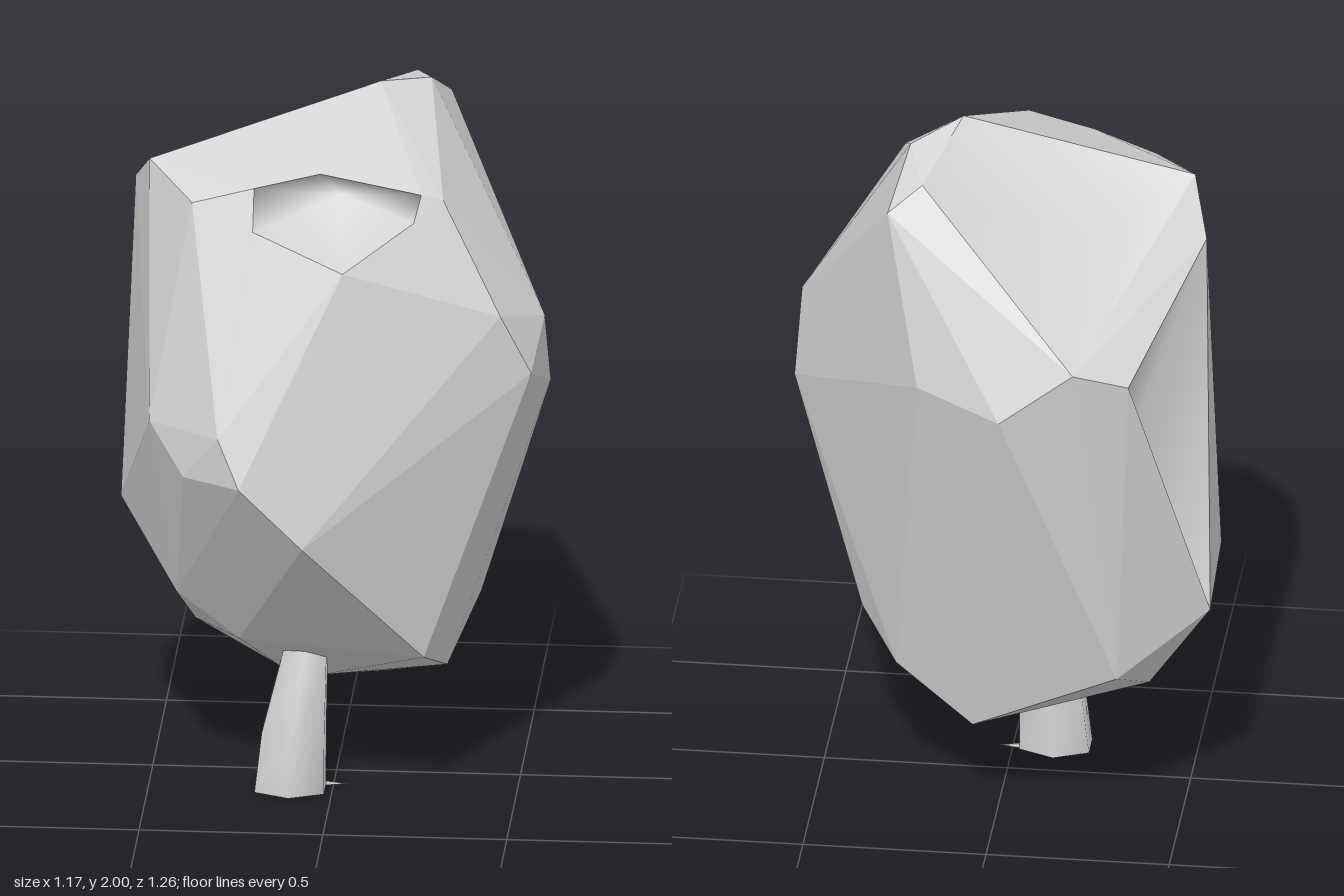
import * as THREE from 'three';
import { ConvexGeometry } from 'three/addons/geometries/ConvexGeometry.js';
import { mergeVertices } from 'three/addons/utils/BufferGeometryUtils.js';

const v = (x, y, z) => new THREE.Vector3(x, y, z);

// Corners of the faceted crown
const frontLip = v(0.05, 1.61, 0.46), flap = v(-0.02, 1.85, 0.33);
const mouth = [
  v(-0.2, 1.695, 0.38), v(-0.2, 1.803, 0.33), v(0.235, 1.717, 0.337), v(0.252, 1.782, 0.292),
];
const spike = v(-0.5, 1.8, 0.11), peak = v(0.12, 2, 0), ridge = v(0.25, 1.97, -0.12);
const topBack = v(0.2, 1.93, -0.28), backRim = v(-0.25, 1.55, -0.62);
const sideTop = v(-0.55, 1.69, -0.05), sideBack = v(-0.395, 1.49, -0.555);
const sideLow = v(-0.59, 0.69, -0.31);
const corners = [
  frontLip, flap, ...mouth, spike, peak, ridge, topBack, backRim, sideTop, sideBack, sideLow,
  // brow
  v(-0.37, 1.75, 0.31), v(0.31, 1.76, 0.27),
  // back
  v(0.29, 1.86, -0.32), v(-0.05, 1.4, -0.635), v(0.19, 1.42, -0.49), v(-0.35, 0.53, -0.44),
  // left flank
  v(0.585, 1.16, 0.03), v(0.575, 1.38, 0.12), v(0.55, 1.27, 0.28), v(0.47, 1.45, 0.33),
  // front
  v(-0.22, 1.04, 0.63), v(-0.05, 0.86, 0.6), v(-0.28, 1.17, 0.59),
  v(-0.38, 1.03, 0.51), v(-0.48, 1.15, 0.4), v(-0.59, 0.76, -0.05),
  // underside
  v(0.26, 0.45, 0.31), v(0.39, 0.51, -0.06), v(0.31, 0.36, 0.12), v(0.28, 0.42, -0.21),
  v(0.12, 0.25, -0.11), v(-0.05, 0.255, -0.05), v(-0.16, 0.28, -0.05), v(0.06, 0.29, -0.3),
  v(-0.42, 0.44, -0.28), v(-0.25, 0.45, 0.2), v(-0.42, 0.58, 0.2), v(-0.38, 0.45, 0.05),
];

// Each hollow replaces the crown faces inside its rim with a pit
const hollows = [
  { name: 'frontHollow', rim: [frontLip, flap, ...mouth], pit: v(0.02, 1.7, 0.08) },
  { name: 'topHollow', rim: [spike, peak, flap], pit: v(-0.22, 1.73, 0.225) },
  { name: 'slotHollow', rim: [flap, peak, ridge], pit: v(0.15, 1.88, 0.06) },
  { name: 'crownHollow', rim: [spike, peak, topBack, backRim], pit: v(-0.28, 1.68, -0.06) },
  { name: 'sideHollow', rim: [sideTop, sideBack, sideLow], pit: v(-0.34, 1.1, -0.18) },
];

function geometryFrom(points) {
  return new THREE.BufferGeometry().setFromPoints(points);
}

function buildCrown(material) {
  const crown = new THREE.Group();
  crown.name = 'crown';
  const pos = new ConvexGeometry(corners).getAttribute('position');
  const kept = [];
  const cut = hollows.map(() => []);
  for (let i = 0; i < pos.count; i += 3) {
    const tri = [0, 1, 2].map((k) => new THREE.Vector3().fromBufferAttribute(pos, i + k));
    const h = hollows.findIndex(({ rim }) =>
      tri.every((p) => rim.some((r) => r.distanceTo(p) < 1e-4)));
    if (h < 0) kept.push(...tri);
    else cut[h].push(tri);
  }
  const shell = geometryFrom(kept);
  shell.computeVertexNormals();
  const foliage = new THREE.Mesh(shell, material);
  foliage.name = 'foliage';
  crown.add(foliage);

  hollows.forEach(({ name, pit }, h) => {
    // Outline of the removed faces: edges with no matching opposite edge
    const edges = cut[h].flatMap(([a, b, c]) => [[a, b], [b, c], [c, a]]);
    const outline = edges.filter(([a, b]) => !edges.some(([c, d]) =>
      a.distanceTo(d) < 1e-4 && b.distanceTo(c) < 1e-4));
    if (!outline.length) return;
    const geo = mergeVertices(geometryFrom(outline.flatMap(([a, b]) => [a, b, pit])));
    geo.computeVertexNormals();
    const mesh = new THREE.Mesh(geo, material);
    mesh.name = name;
    crown.add(mesh);
  });
  return crown;
}

// Leaning six-sided open trunk: rings of [y, centre x, centre z, radius x, radius z]
function buildTrunk(material) {
  const rings = [
    [0, -0.115, 0.15, 0.102, 0.08],
    [0.17, -0.105, 0.148, 0.092, 0.08],
    [0.36, -0.08, 0.125, 0.068, 0.058],
    [0.5, -0.06, 0.1, 0.055, 0.045],
  ];
  let geo = new THREE.CylinderGeometry(1, 1, 3, 6, 3, true);
  geo.deleteAttribute('uv');
  geo.deleteAttribute('normal');
  geo = mergeVertices(geo);
  const p = geo.getAttribute('position');
  for (let i = 0; i < p.count; i++) {
    const [y, cx, cz, rx, rz] = rings[Math.round(p.getY(i) + 1.5)];
    p.setXYZ(i, cx + p.getX(i) * rx * 1.07, y, cz + p.getZ(i) * rz);
  }
  geo.computeVertexNormals();
  const trunk = new THREE.Mesh(geo, material);
  trunk.name = 'trunk';
  return trunk;
}

// Small root splinter at the foot of the trunk
function buildRoot(material) {
  const root = new THREE.Mesh(new THREE.ConeGeometry(0.02, 0.08, 3), material);
  root.name = 'root';
  root.rotation.z = -Math.PI / 2;
  root.position.set(0, 0.006, 0.12);
  root.scale.x = 0.3;
  return root;
}

export function createModel() {
  const material = new THREE.MeshStandardMaterial({ color: 0xd6d6d6, side: THREE.DoubleSide });
  material.name = 'lightGrey';
  const tree = new THREE.Group();
  tree.name = 'tree';
  tree.add(buildCrown(material), buildTrunk(material), buildRoot(material));
  return tree;
}
